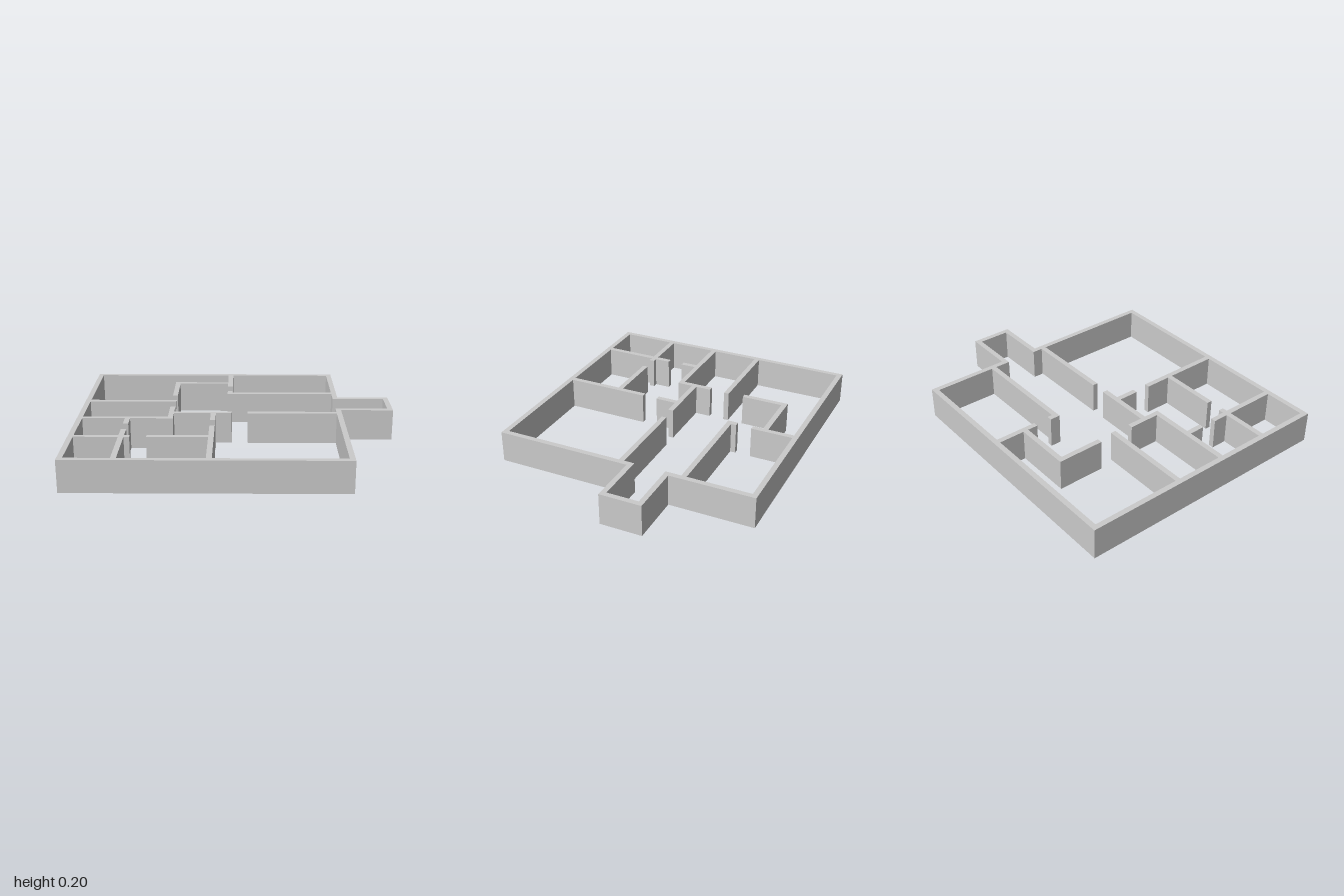
import * as THREE from 'three';

// The plan sits on a grid whose cell is one wall thickness.
const CELL = 1 / 30;
const HEIGHT = 6 * CELL;
const material = new THREE.MeshStandardMaterial({ color: 0xcccccc, flatShading: true });

// Plan points are [x, z] in cells; the extrusion is laid flat so it rises along +y.
const toPlan = (points) => points.map(([x, z]) => new THREE.Vector2(x * CELL, -z * CELL));

function makeOuterWall() {
  // Outline runs counterclockwise and the hole clockwise, so both sides face outward.
  const shape = new THREE.Shape(toPlan([
    [-30, 25], [20, 25], [20, -1], [30, -1],
    [30, -9], [20, -9], [20, -25], [-30, -25],
  ]));
  shape.holes.push(new THREE.Path(toPlan([
    [-29, -24], [19, -24], [19, -8], [29, -8],
    [29, -2], [19, -2], [19, 24], [-29, 24],
  ])));
  const geometry = new THREE.ExtrudeGeometry(shape, { depth: HEIGHT, bevelEnabled: false });
  geometry.rotateX(-Math.PI / 2);
  const mesh = new THREE.Mesh(geometry, material);
  mesh.name = 'outerWall';
  return mesh;
}

// Straight wall filling a rectangle of the plan.
function makeWall(x0, x1, z0, z1) {
  const geometry = new THREE.BoxGeometry((x1 - x0) * CELL, HEIGHT, (z1 - z0) * CELL);
  const mesh = new THREE.Mesh(geometry, material);
  mesh.position.set((x0 + x1) / 2 * CELL, HEIGHT / 2, (z0 + z1) / 2 * CELL);
  mesh.name = 'wall';
  return mesh;
}

// Inner walls by room, each as x0, x1, z0, z1 in cells; pieces meet without overlapping.
const partitions = {
  backRoomWalls: [
    [-2, -1, -24, -16],
    [-2, -1, -13, -12],
    [-2, 19, -12, -11],
  ],
  closetWalls: [
    [-13, -2, -19, -18],
    [-13, -12, -18, -10],
  ],
  sideRoomWalls: [
    [-29, -12, -7, -6],
    [-13, -12, -3, 3],
    [-29, -12, 3, 4],
  ],
  hallWalls: [
    [-12, -1, 0, 1],
    [2, 19, 0, 1],
  ],
  frontRoomWalls: [
    [-5, -4, 1, 5],
    [-5, -4, 8, 24],
    [-16, -5, 13, 14],
  ],
  cornerRoomWalls: [
    [-21, -20, 4, 7],
    [-21, -20, 10, 24],
    [-29, -21, 13, 14],
    [-20, -19, 13, 14],
  ],
};

export function createModel() {
  const model = new THREE.Group();
  model.name = 'floorPlan';
  model.add(makeOuterWall());
  for (const [name, walls] of Object.entries(partitions)) {
    const group = new THREE.Group();
    group.name = name;
    walls.forEach((wall) => group.add(makeWall(...wall)));
    model.add(group);
  }
  return model;
}
